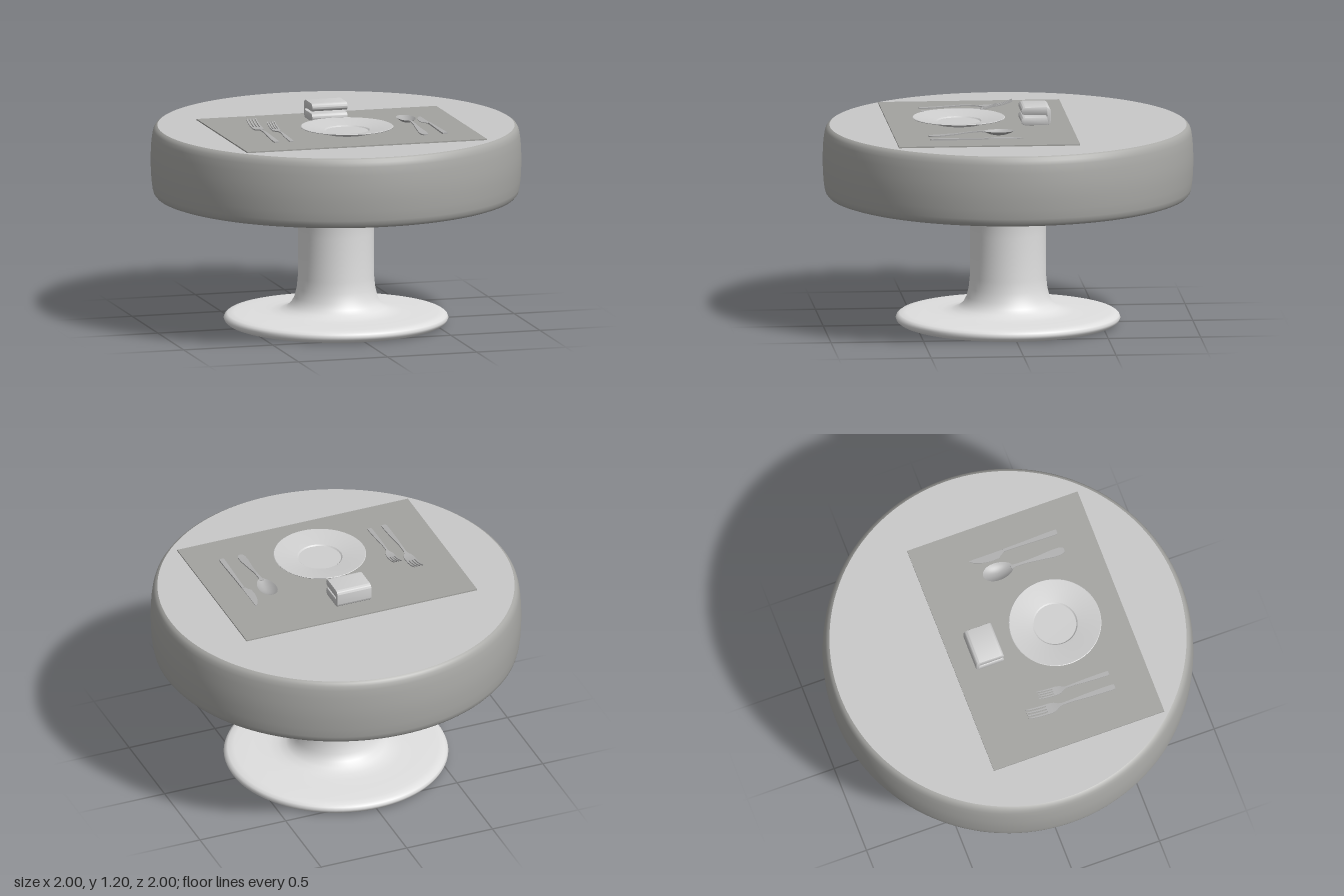
import * as THREE from 'three';
import { toCreasedNormals } from 'three/addons/utils/BufferGeometryUtils.js';

const flat = (name, color) => new THREE.MeshStandardMaterial({ name, color });
const mats = {
  base: flat('pedestal white', 0xe0e0e0),
  side: flat('table edge grey', 0xa9a9a6),
  top: flat('table top grey', 0xc8c8c8),
  mat: flat('placemat grey', 0xa3a3a0),
  china: flat('plate and napkin grey', 0xcfcfcf),
  metal: flat('cutlery grey', 0xb0b0b0),
};
mats.metal.side = THREE.DoubleSide;

function add(parent, name, geometry, material, x = 0, y = 0, z = 0) {
  const mesh = new THREE.Mesh(geometry, material);
  mesh.name = name;
  mesh.position.set(x, y, z);
  parent.add(mesh);
  return mesh;
}

const lathe = (points, segments = 96) =>
  new THREE.LatheGeometry(points.map(([r, y]) => new THREE.Vector2(r, y)), segments);

// Flat bar with a rectangular section; stations are [z, centreX, halfWidth, y], z rising
function bar(stations, thick = 0.006) {
  const pos = [], index = [];
  for (const [z, x, w, y] of stations) {
    pos.push(x - w, y, z, x + w, y, z, x + w, y + thick, z, x - w, y + thick, z);
  }
  for (let s = 0; s < stations.length - 1; s++) {
    for (let i = 0; i < 4; i++) {
      const a = s * 4 + i, b = s * 4 + (i + 1) % 4;
      index.push(a, b, b + 4, a, b + 4, a + 4);
    }
  }
  const e = (stations.length - 1) * 4;
  index.push(0, 3, 2, 0, 2, 1, e, e + 1, e + 2, e, e + 2, e + 3);
  const g = new THREE.BufferGeometry();
  g.setAttribute('position', new THREE.Float32BufferAttribute(pos, 3));
  g.setIndex(index);
  return toCreasedNormals(g, 0.7);
}

// Fork with its tine tips at z = 0 and the handle towards +z
function makeFork(name) {
  const fork = new THREE.Group();
  fork.name = name;
  add(fork, 'forkHandle', bar([
    [0.11, 0, 0.029, 0.008], [0.135, 0, 0.029, 0.006], [0.16, 0, 0.024, 0.006],
    [0.18, 0, 0.012, 0.008], [0.2, 0, 0.006, 0.01], [0.27, 0, 0.007, 0.012],
    [0.33, 0, 0.011, 0.008], [0.42, 0, 0.014, 0.003], [0.49, 0, 0.015, 0],
    [0.503, 0, 0.012, 0],
  ]), mats.metal);
  for (let i = 0; i < 4; i++) {
    const x = -0.0245 + i * 0.01633;
    add(fork, 'forkTine', bar([
      [0, x, 0.002, 0.037], [0.015, x, 0.0035, 0.03], [0.05, x, 0.004, 0.018],
      [0.085, x, 0.0045, 0.011], [0.112, x, 0.0045, 0.008],
    ]), mats.metal);
  }
  return fork;
}

function makeSpoon() {
  const spoon = new THREE.Group();
  spoon.name = 'spoon';
  // shallow oval bowl, a little narrower towards the tip
  const profile = [];
  for (let i = 0; i <= 8; i++) {
    const t = i / 8;
    profile.push([t * 0.05, 0.024 * t * t]);
  }
  const bowl = lathe(profile, 40);
  const p = bowl.attributes.position;
  for (let i = 0; i < p.count; i++) {
    const z = p.getZ(i) * 1.72;
    p.setXYZ(i, p.getX(i) * (1 - z * 1.2), p.getY(i), z);
  }
  bowl.computeVertexNormals();
  add(spoon, 'spoonBowl', bowl, mats.metal, 0, 0.002, 0.086);
  add(spoon, 'spoonHandle', bar([
    [0.16, 0, 0.013, 0.019], [0.185, 0, 0.007, 0.022], [0.25, 0, 0.007, 0.017],
    [0.32, 0, 0.013, 0.008], [0.4, 0, 0.021, 0.002], [0.44, 0, 0.021, 0],
    [0.46, 0, 0.015, 0], [0.466, 0, 0.006, 0],
  ]), mats.metal);
  return spoon;
}

function makeKnife() {
  const knife = new THREE.Group();
  knife.name = 'knife';
  add(knife, 'knifeBlade', bar([
    [0, 0.004, 0.002, 0.002], [0.02, -0.004, 0.01, 0.002], [0.06, -0.011, 0.017, 0.002],
    [0.11, -0.015, 0.021, 0.002], [0.16, -0.014, 0.02, 0.002], [0.175, -0.007, 0.013, 0.002],
    [0.2, 0, 0.007, 0.002],
  ], 0.003), mats.metal);
  add(knife, 'knifeHandle', bar([
    [0.19, 0, 0.007, 0], [0.3, 0, 0.009, 0], [0.42, 0, 0.013, 0],
    [0.492, 0, 0.014, 0], [0.502, 0, 0.012, 0],
  ], 0.008), mats.metal);
  return knife;
}

// Napkin folded over once: closed at the back, open at the front
function makeNapkin() {
  const s = new THREE.Shape();
  s.moveTo(0.022, 0);
  s.lineTo(0.138, 0);
  s.absarc(0.138, 0.022, 0.022, -Math.PI / 2, Math.PI / 2, false);
  s.lineTo(0.026, 0.044);
  s.absarc(0.026, 0.05, 0.006, -Math.PI / 2, Math.PI / 2, true);
  s.lineTo(0.138, 0.056);
  s.absarc(0.138, 0.078, 0.022, -Math.PI / 2, Math.PI / 2, false);
  s.lineTo(0.025, 0.1);
  s.absarc(0.025, 0.075, 0.025, Math.PI / 2, Math.PI, false);
  s.lineTo(0, 0.022);
  s.absarc(0.022, 0.022, 0.022, Math.PI, Math.PI * 1.5, false);
  const g = new THREE.ExtrudeGeometry(s, {
    depth: 0.192, curveSegments: 10, bevelThickness: 0.004, bevelSize: 0.003,
    bevelOffset: -0.003, bevelSegments: 2,
  });
  g.rotateY(-Math.PI / 2);
  return toCreasedNormals(g, 0.6);
}

export function createModel() {
  const table = new THREE.Group();
  table.name = 'diningTable';

  // Flared pedestal with a round foot
  add(table, 'pedestal', lathe([
    [0, 0], [0.555, 0], [0.565, 0.001], [0.585, 0.008], [0.6, 0.02], [0.606, 0.035],
    [0.6, 0.05], [0.585, 0.06], [0.55, 0.066], [0.45, 0.069], [0.36, 0.072],
    [0.31, 0.078], [0.27, 0.092], [0.243, 0.115], [0.224, 0.15], [0.212, 0.2],
    [0.206, 0.26], [0.204, 0.38], [0.204, 0.5], [0.208, 0.57], [0.215, 0.615],
    [0.228, 0.65], [0.248, 0.676], [0.275, 0.693], [0.31, 0.702], [0.36, 0.708],
  ]), mats.base);

  // Thick round top: edge and underside, then the upper face
  add(table, 'tableEdge', lathe([
    [0, 0.705], [0.945, 0.705], [0.955, 0.706], [0.972, 0.712], [0.984, 0.727],
    [0.99, 0.75], [0.996, 0.8], [0.999, 0.86], [1, 0.9], [0.999, 0.94], [0.996, 1],
    [0.99, 1.045], [0.984, 1.068], [0.974, 1.083], [0.962, 1.09],
  ], 128), mats.side);
  add(table, 'tableTop', new THREE.CircleGeometry(0.963, 128).rotateX(-Math.PI / 2), mats.top, 0, 1.09, 0);

  // Place setting
  add(table, 'placemat', new THREE.BoxGeometry(1.345, 0.007, 0.98), mats.mat, -0.0125, 1.0935, 0.155);
  const plate = toCreasedNormals(lathe([
    [0, 0], [0.125, 0], [0.13, 0.006], [0.19, 0.021], [0.248, 0.031], [0.25, 0.034],
    [0.247, 0.036], [0.19, 0.028], [0.122, 0.016], [0.115, 0.01], [0, 0.009],
  ], 72), 0.35);
  add(table, 'plate', plate, mats.china, -0.015, 1.098, 0.265);
  add(table, 'napkin', makeNapkin(), mats.china, 0.081, 1.098, -0.225);

  const largeFork = makeFork('largeFork');
  largeFork.position.set(-0.46, 1.098, 0.06 - 0.12);
  const smallFork = makeFork('smallFork');
  smallFork.scale.set(0.82, 0.9, 0.81);
  smallFork.position.set(-0.376, 1.098, 0.032);
  const spoon = makeSpoon();
  spoon.position.set(0.37, 1.098, -0.005);
  const knife = makeKnife();
  knife.position.set(0.48, 1.098, -0.043);
  table.add(largeFork, smallFork, spoon, knife);
  return table;
}
